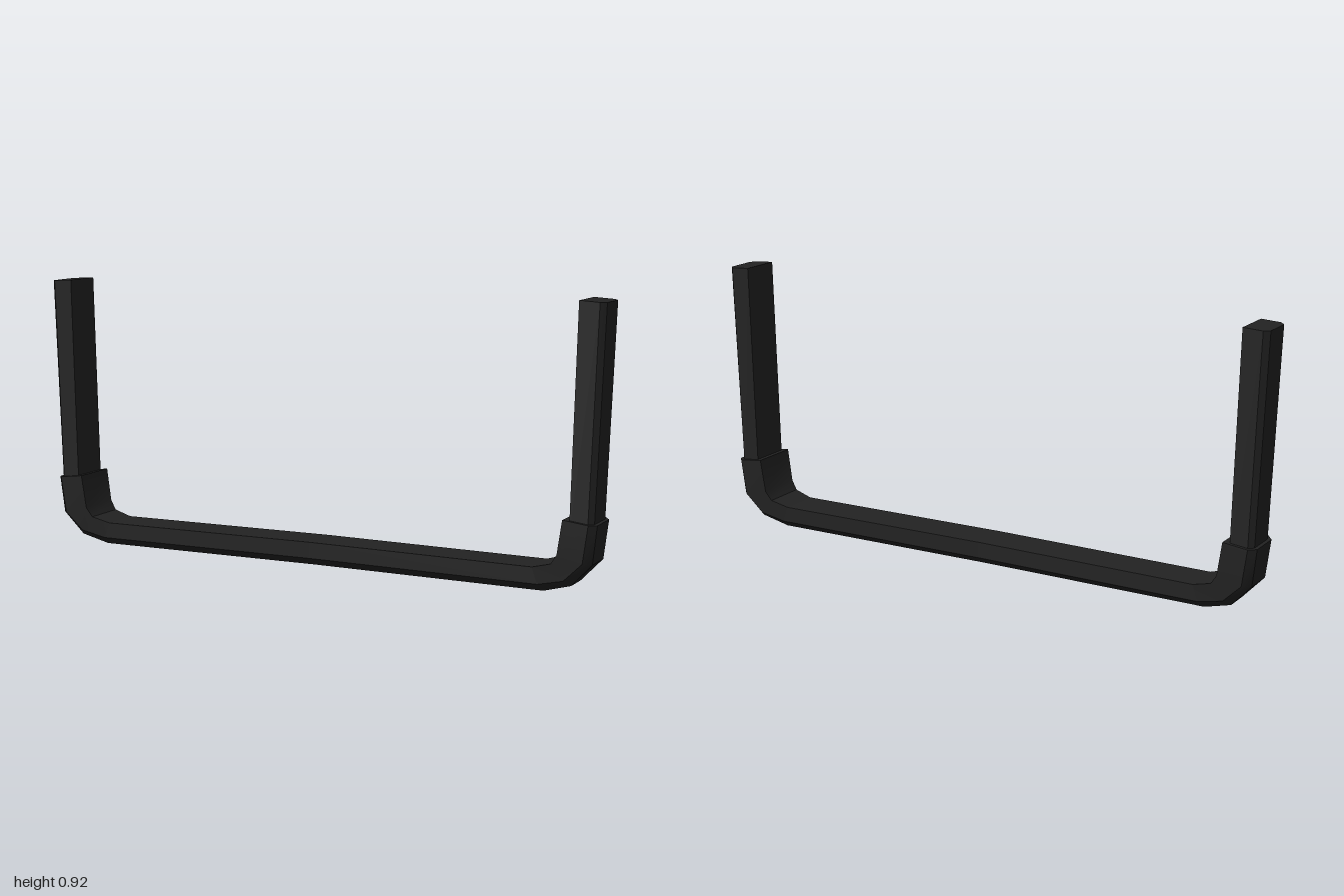
import * as THREE from 'three';
import { toCreasedNormals } from 'three/addons/utils/BufferGeometryUtils.js';

// Station: [innerX, innerY, outerX, outerY, half width, half width of outer face, bevel fraction]
const legPath = [
  [0.898, 0.18, 0.972, 0.18, 0.07, 0.051, 0.2],
  [0.917, 0.92, 1.0, 0.915, 0.07, 0.051, 0.2],
];
const elbowPath = [
  [0.778, 0.083, 0.805, 0.003, 0.068, 0.034, 0.33],
  [0.842, 0.1, 0.9, 0.03, 0.075, 0.044, 0.28],
  [0.863, 0.131, 0.97, 0.104, 0.08, 0.052, 0.22],
  [0.88, 0.243, 0.985, 0.23, 0.082, 0.056, 0.2],
];
const barCentre = [0, 0.088, 0, 0.007, 0.068, 0.034, 0.33];

// Reverse and flip a path so that it runs on the other side of the model
const mirror = (path) => path.map(([ix, iy, ox, oy, ...rest]) => [-ix, iy, -ox, oy, ...rest]).reverse();

// Six-sided section: flat inside, bevelled outside
function ring([ix, iy, ox, oy, w, c, f]) {
  const sx = ox + (ix - ox) * f, sy = oy + (iy - oy) * f;
  return [[ix, iy, w], [sx, sy, w], [ox, oy, c], [ox, oy, -c], [sx, sy, -w], [ix, iy, -w]];
}

// Skin the sections along a path and close both ends
function loft(path) {
  const n = 6, index = [], last = (path.length - 1) * n;
  const points = path.flatMap(ring);
  for (let i = 0; i < path.length - 1; i++) {
    for (let j = 0; j < n; j++) {
      const a = i * n + j, b = i * n + (j + 1) % n;
      index.push(a, b, b + n, a, b + n, a + n);
    }
  }
  for (let j = 1; j < n - 1; j++) {
    index.push(0, j + 1, j, last, last + j, last + j + 1);
  }
  const geometry = new THREE.BufferGeometry();
  geometry.setAttribute('position', new THREE.Float32BufferAttribute(points.flat(), 3));
  geometry.setIndex(index);
  return toCreasedNormals(geometry, 0.6);
}

export function createModel() {
  const group = new THREE.Group();
  group.name = 'bumperBar';
  const black = new THREE.MeshStandardMaterial({ color: 0x222222 });
  black.name = 'matteBlack';

  const add = (name, path) => {
    const mesh = new THREE.Mesh(loft(path), black);
    mesh.name = name;
    group.add(mesh);
  };

  // Crossbar with a slight rise in the middle
  add('crossbar', [...mirror([elbowPath[0]]), barCentre, elbowPath[0]]);

  // Flared corner sleeves and the upright legs set into them
  add('leftElbow', elbowPath);
  add('rightElbow', mirror(elbowPath));
  add('leftLeg', legPath);
  add('rightLeg', mirror(legPath));
  return group;
}
